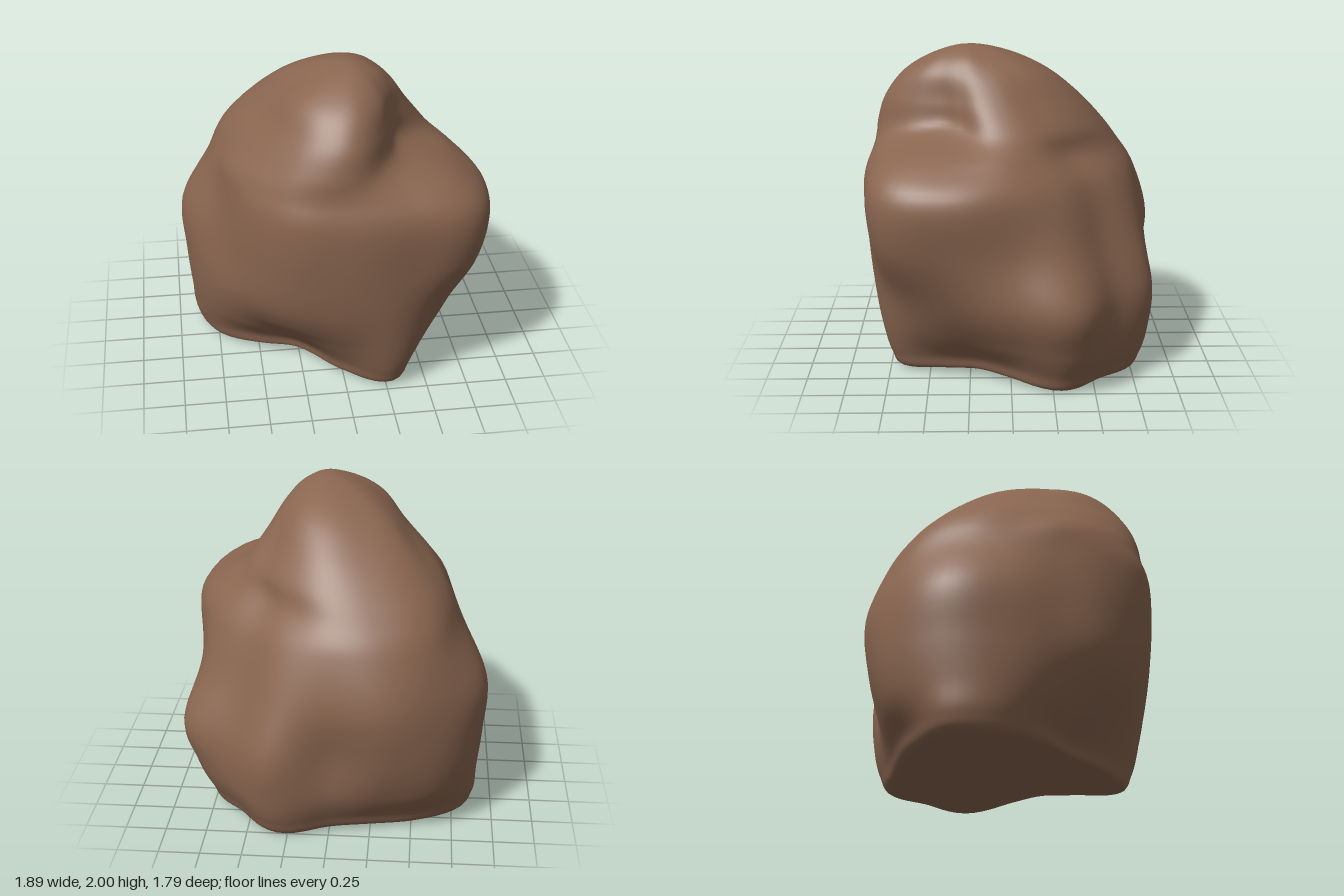
import * as THREE from 'three';

// One horizontal slice: height, centre x/z, and 16 radii turning from +x towards +z
const slice = (y, cx, cz, r) => ({ y, cx, cz, r });
const scaled = (s, y, k) => slice(y, s.cx, s.cz, s.r.map((v) => v * k));

// Catmull-Rom blend of four numbers
const blend = (a, b, c, d, t) =>
  b + 0.5 * t * (c - a + t * (2 * a - 5 * b + 4 * c - d + t * (3 * (b - c) + d - a)));

// Foot, undercut front and side lobe
const foot = slice(0.1, 0, 0, [0.64, 0.56, 0.64, 0.8, 0.62, 0.48, 0.46, 0.59, 0.81, 0.94, 0.83, 0.74, 0.74, 0.87, 0.82, 0.84]);
const lower = [
  foot,
  slice(0.28, 0, 0, [0.77, 0.69, 0.76, 0.85, 0.72, 0.62, 0.61, 0.72, 0.86, 0.96, 0.95, 0.84, 0.8, 0.92, 0.88, 0.93]),
  slice(0.55, 0, 0, [0.89, 0.84, 0.88, 0.89, 0.83, 0.79, 0.77, 0.8, 0.89, 0.99, 1.0, 0.92, 0.81, 0.94, 0.88, 1.0]),
  slice(0.88, 0, 0, [0.86, 0.94, 1.05, 0.93, 0.88, 0.86, 0.81, 0.79, 0.89, 1.0, 0.98, 0.95, 0.85, 0.84, 0.77, 0.85]),
];

// Shoulder ledge and peak
const cap = slice(1.95, 0.06, 0.24, [0.16, 0.16, 0.17, 0.2, 0.22, 0.21, 0.2, 0.18, 0.18, 0.2, 0.23, 0.24, 0.24, 0.22, 0.18, 0.16]);
const upper = [
  slice(1.2, 0, 0, [0.83, 0.97, 1.08, 0.95, 0.89, 0.88, 0.81, 0.75, 0.77, 0.83, 0.88, 0.84, 0.77, 0.71, 0.66, 0.73]),
  slice(1.38, 0, 0.05, [0.71, 0.77, 0.88, 0.81, 0.79, 0.79, 0.74, 0.71, 0.69, 0.76, 0.82, 0.77, 0.71, 0.62, 0.56, 0.62]),
  slice(1.52, 0.03, 0.12, [0.52, 0.44, 0.45, 0.56, 0.69, 0.7, 0.65, 0.62, 0.63, 0.7, 0.77, 0.73, 0.68, 0.6, 0.54, 0.54]),
  slice(1.68, 0.05, 0.18, [0.38, 0.33, 0.34, 0.45, 0.58, 0.58, 0.53, 0.49, 0.49, 0.55, 0.65, 0.63, 0.6, 0.52, 0.44, 0.41]),
  slice(1.84, 0.06, 0.22, [0.27, 0.26, 0.28, 0.35, 0.42, 0.42, 0.4, 0.37, 0.35, 0.39, 0.46, 0.46, 0.45, 0.4, 0.33, 0.29]),
  cap,
];

// Underside and apex close the skin; the first and last slices only steer the curve
const slices = [
  scaled(foot, 0.04, -0.5), scaled(foot, 0.05, 0), scaled(foot, 0.03, 0.6), scaled(foot, 0.0, 0.91),
  ...lower, ...upper,
  slice(2, 0.07, 0.25, cap.r.map(() => 0)), scaled(cap, 1.95, -1),
];

function rockGeometry(around = 96, steps = 7) {
  const rows = (slices.length - 3) * steps;
  const positions = [], index = [];

  // Radius of a slice at a fractional direction
  const radius = (r, u) => {
    const i = Math.floor(u), n = r.length;
    return blend(r[(i + n - 1) % n], r[i % n], r[(i + 1) % n], r[(i + 2) % n], u - i);
  };

  for (let j = 0; j <= rows; j++) {
    const k = Math.min(Math.floor(j / steps), slices.length - 4);
    const t = j / steps - k;
    const four = slices.slice(k, k + 4);
    const mix = (f) => blend(...four.map(f), t);
    const y = mix((s) => s.y), cx = mix((s) => s.cx), cz = mix((s) => s.cz);
    for (let i = 0; i < around; i++) {
      const u = (i / around) * 16, a = (i / around) * Math.PI * 2;
      const r = Math.max(0, mix((s) => radius(s.r, u)));
      // The base lifts off the ground wherever the foot is drawn in
      const lift = 0.16 * Math.max(0, 0.86 - radius(foot.r, u)) * Math.max(0, 1 - y / 0.4) * Math.min(1, r / 0.3);
      positions.push(cx + r * Math.cos(a), Math.max(0, y) + lift, cz + r * Math.sin(a));
    }
  }

  for (let j = 0; j < rows; j++) {
    for (let i = 0; i < around; i++) {
      const n = (i + 1) % around;
      const a = j * around + i, b = j * around + n, c = a + around, d = b + around;
      if (j > 0) index.push(a, c, b);
      if (j < rows - 1) index.push(b, c, d);
    }
  }

  const geometry = new THREE.BufferGeometry();
  geometry.setAttribute('position', new THREE.Float32BufferAttribute(positions, 3));
  geometry.setIndex(index);
  geometry.computeVertexNormals();
  // The two poles share one normal each
  const normals = geometry.attributes.normal;
  for (let i = 0; i < around; i++) {
    normals.setXYZ(i, 0, -1, 0);
    normals.setXYZ(rows * around + i, 0, 1, 0);
  }
  return geometry;
}

export function createModel() {
  const group = new THREE.Group();
  group.name = 'boulder';
  const rock = new THREE.Mesh(rockGeometry(), new THREE.MeshStandardMaterial({ color: 0x8a6650 }));
  rock.name = 'rock';
  group.add(rock);
  return group;
}
